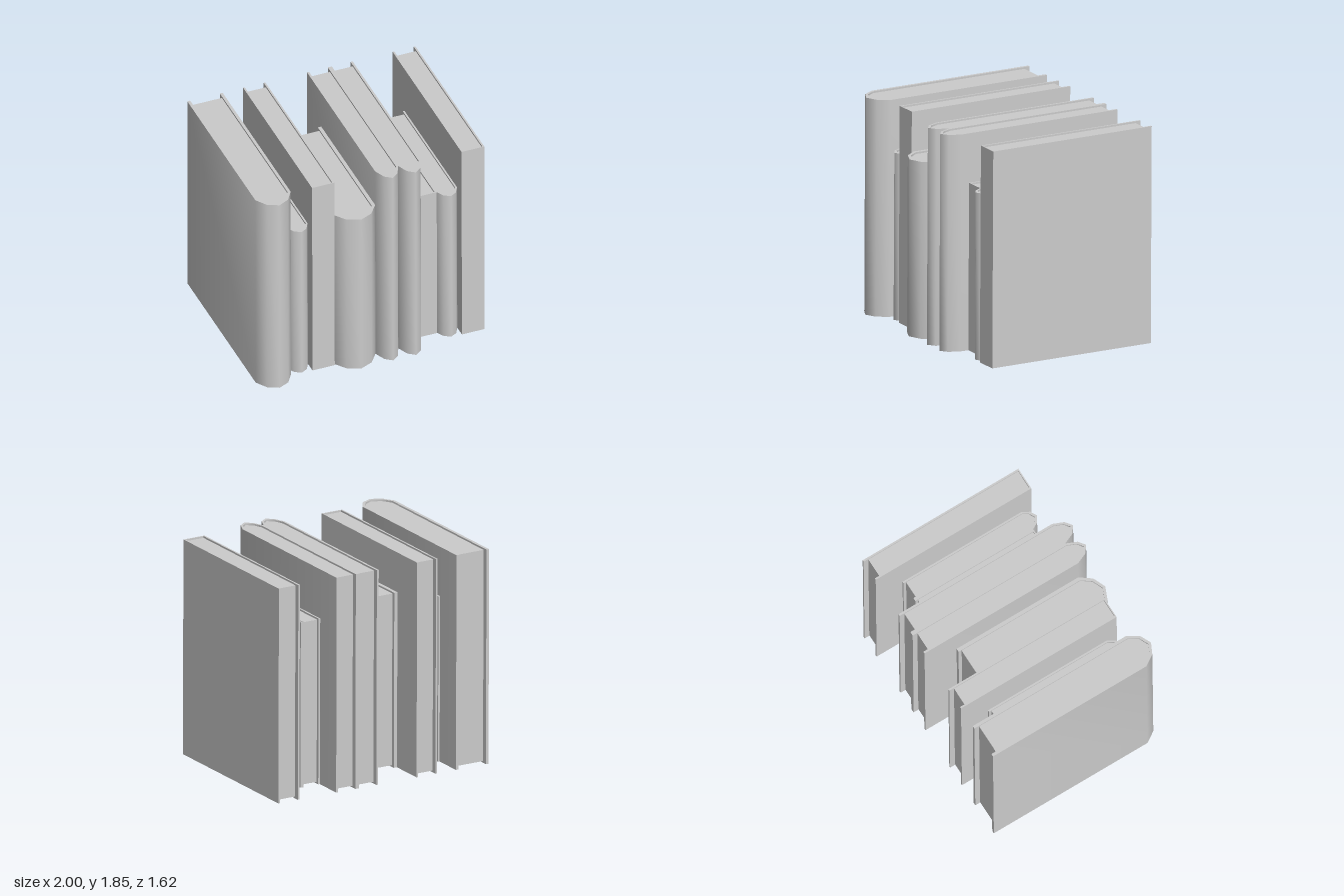
import * as THREE from 'three';
import { toCreasedNormals } from 'three/addons/utils/BufferGeometryUtils.js';

const material = new THREE.MeshStandardMaterial({ color: 0xcccccc });

// x0, x1, height, z of back edge, z where the spine starts, z of spine front, cover thickness, page inset at back
const BOOKS = [
  [-1.0, -0.69, 1.837, -0.81, 0.66, 0.8, 0.025, 0.045],
  [-0.69, -0.51, 1.415, -0.555, 0.58, 0.675, 0.015, 0.025],
  [-0.51, -0.315, 1.837, -0.81, 0.68, 0.68, 0.015, 0.045],
  [-0.315, 0.05, 1.498, -0.505, 0.66, 0.805, 0.03, 0.03],
  [0.05, 0.25, 1.837, -0.81, 0.66, 0.8, 0.018, 0.045],
  [0.25, 0.45, 1.837, -0.81, 0.66, 0.8, 0.018, 0.045],
  [0.45, 0.62, 1.418, -0.555, 0.585, 0.585, 0.015, 0.025],
  [0.62, 0.8, 1.415, -0.555, 0.58, 0.675, 0.015, 0.025],
  [0.8, 1.0, 1.837, -0.81, 0.68, 0.68, 0.015, 0.045],
];

// Spine outline from left to right as [x, z]; flat when side and tip are equal
function spine(half, side, tip) {
  if (tip - side < 0.001) return [[-half, side], [half, side]];
  const mid = side + (tip - side) * 0.68;
  return [[-half, side], [-half * 0.6, mid], [0, tip], [half * 0.6, mid], [half, side]];
}

// Upright prism over a floor outline
function prism(name, outline, height, y) {
  const shape = new THREE.Shape(outline.map(([x, z]) => new THREE.Vector2(x, -z)));
  const geometry = new THREE.ExtrudeGeometry(shape, { depth: height, bevelEnabled: false });
  geometry.rotateX(-Math.PI / 2);
  const mesh = new THREE.Mesh(toCreasedNormals(geometry, 1.45), material);
  mesh.name = name;
  mesh.position.y = y;
  return mesh;
}

function book([x0, x1, height, back, side, tip, t, inset]) {
  const group = new THREE.Group();
  group.name = 'book';
  group.position.x = (x0 + x1) / 2;
  const half = (x1 - x0) / 2;
  const flat = tip === side;
  const outer = spine(half, side, tip);
  const inner = spine(half - t, flat ? side - 0.01 : side, flat ? side - 0.01 : tip - 0.025);

  // Wrapped cover, open at the back
  const cover = [[-half, back], ...outer, [half, back], [half - t, back],
    ...inner.slice().reverse(), [-half + t, back]];
  group.add(prism('cover', cover, height, 0));

  // Page block, set in from the cover edges
  const pages = [[-half + t, back + inset], ...inner, [half - t, back + inset]];
  group.add(prism('pages', pages, height - 0.03, 0.015));
  return group;
}

export function createModel() {
  const model = new THREE.Group();
  model.name = 'bookRow';

  // The row leans back very slightly on its rear edge
  const row = new THREE.Group();
  row.name = 'books';
  for (const spec of BOOKS) row.add(book(spec));
  row.rotation.x = -0.005;
  row.position.y = 0.004;
  model.add(row);
  return model;
}
